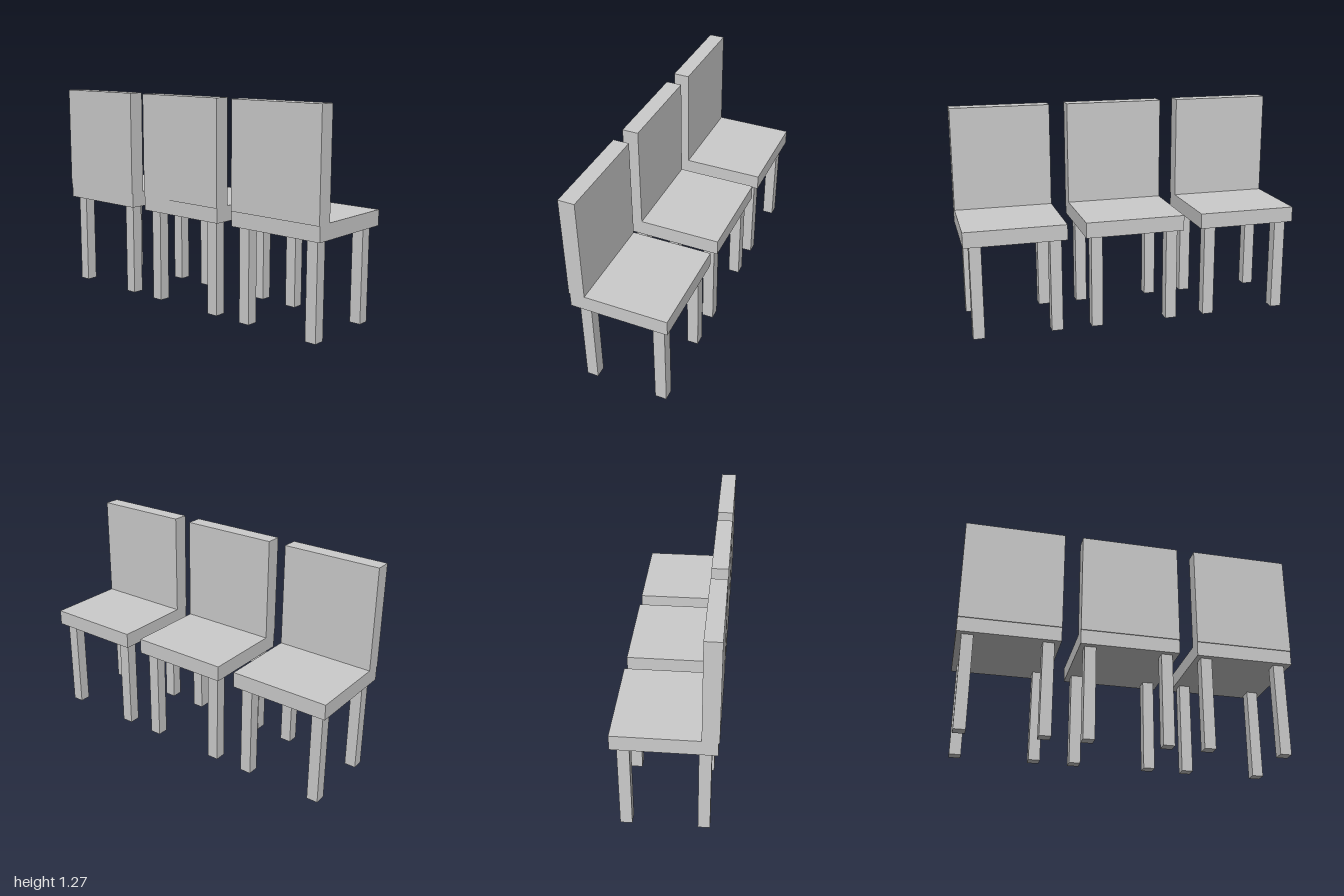
import * as THREE from 'three';

const material = new THREE.MeshStandardMaterial({ color: 0xcccccc, flatShading: true });

// Box given by its low and high corners
function block(name, [x0, y0, z0], [x1, y1, z1]) {
  const mesh = new THREE.Mesh(new THREE.BoxGeometry(x1 - x0, y1 - y0, z1 - z0), material);
  mesh.position.set((x0 + x1) / 2, (y0 + y1) / 2, (z0 + z1) / 2);
  mesh.name = name;
  return mesh;
}

function createChair() {
  const chair = new THREE.Group();
  const half = 0.297;

  // Seat slab and upright backrest, which overhangs the seat slightly
  chair.add(block('seat', [-half, 0.563, -0.288], [half, 0.655, 0.283]));
  chair.add(block('backrest', [-half, 0.65, 0.195], [half, 1.272, 0.289]));

  // Four square legs
  const r = 0.034;
  for (const x of [-0.233, 0.227]) {
    for (const z of [-0.22, 0.215]) {
      chair.add(block('leg', [x - r, 0, z - r], [x + r, 0.563, z + r]));
    }
  }
  return chair;
}

export function createModel() {
  const model = new THREE.Group();
  model.name = 'chairRow';

  // Three identical chairs side by side
  ['rightChair', 'middleChair', 'leftChair'].forEach((name, i) => {
    const chair = createChair();
    chair.name = name;
    chair.position.x = (i - 1) * 0.703;
    model.add(chair);
  });
  return model;
}
